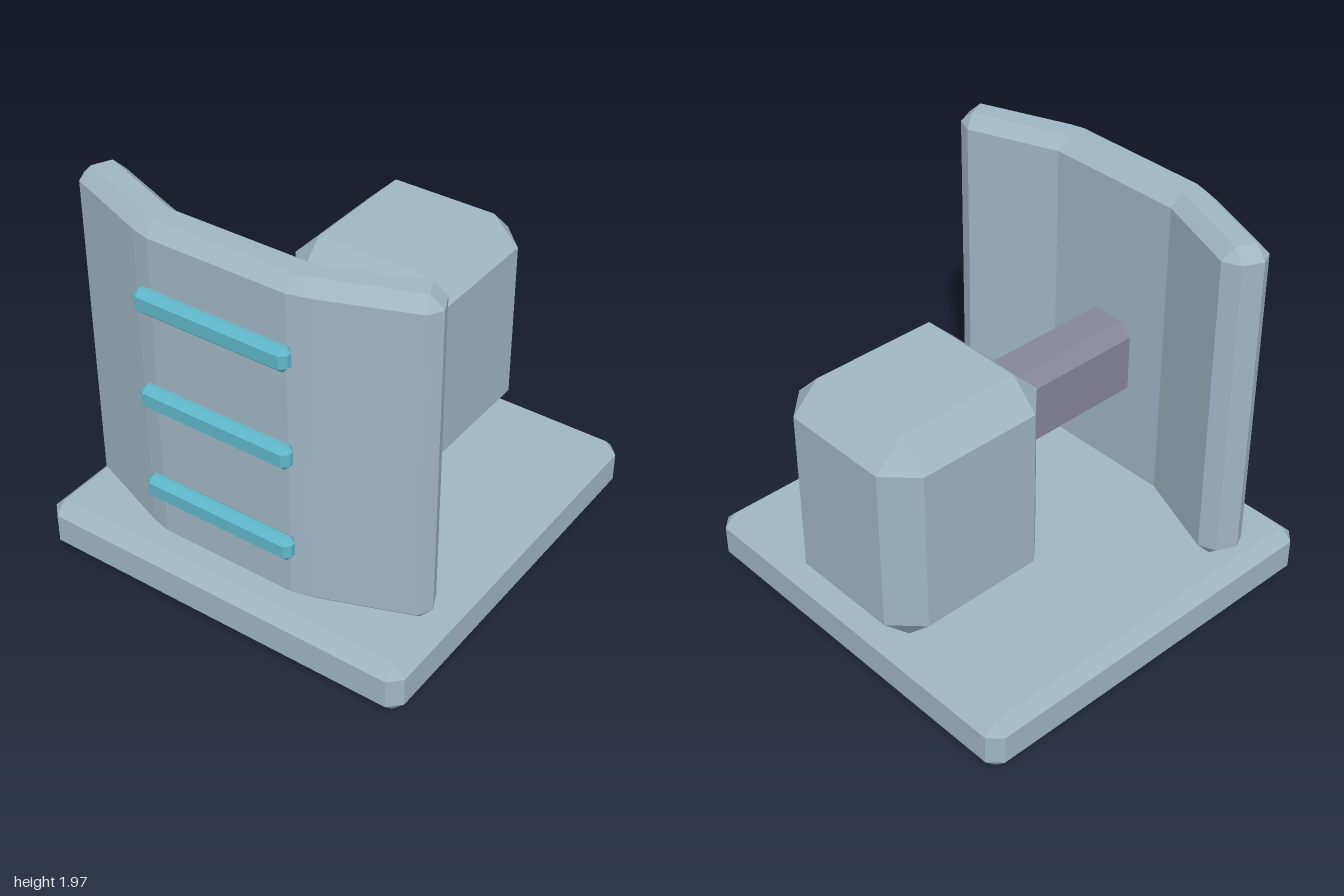
import * as THREE from 'three';
import { ConvexGeometry } from 'three/addons/geometries/ConvexGeometry.js';

const flat = (name, color) => new THREE.MeshStandardMaterial({ name, color, flatShading: true });

// Box between two corners with every edge cut by c
function chamferBox(min, max, c) {
  const points = [];
  for (const i of [0, 1]) for (const j of [0, 1]) for (const k of [0, 1]) {
    const side = [i, j, k];
    for (let outer = 0; outer < 3; outer++) {
      const p = side.map((s, a) => {
        const inset = a === outer ? 0 : c;
        return s ? max[a] - inset : min[a] + inset;
      });
      points.push(new THREE.Vector3(...p));
    }
  }
  return new ConvexGeometry(points);
}

// Bent slab: octagonal sections lofted from the right tip to the left tip
function shieldGeometry(y0, y1, bevel) {
  const t = 0.27;
  // half stations from centre to tip: back x, back z, front x, front z
  const half = [
    [0.355, 0.655, 0.355, 0.88],
    [0.355, 0.655, 0.45, 0.855],
    [0.80, 0.487, 0.895, 0.687],
    [0.885, 0.522, 0.93, 0.617],
  ];
  const mirrored = half.map(([bx, bz, fx, fz]) => [-bx, bz, -fx, fz]).reverse();
  const stations = [...mirrored, ...half];
  const lo = y0 + bevel, hi = y1 - bevel;
  const position = [], index = [];
  stations.forEach(([bx, bz, fx, fz], s) => {
    const tip = s === 0 || s === stations.length - 1;
    const put = (f, y) => position.push(bx + (fx - bx) * f, y, bz + (fz - bz) * f);
    const top = tip ? hi : y1, bottom = tip ? lo : y0;
    const a = tip ? 0 : t, b = 1 - a;
    put(0, lo); put(0, hi); put(a, top); put(b, top);
    put(1, hi); put(1, lo); put(b, bottom); put(a, bottom);
  });
  for (let s = 0; s < stations.length - 1; s++) {
    for (let i = 0; i < 8; i++) {
      const a = s * 8 + i, b = s * 8 + (i + 1) % 8;
      index.push(a, b, a + 8, b, b + 8, a + 8);
    }
  }
  // end faces
  const e = (stations.length - 1) * 8;
  index.push(0, 4, 1, 0, 5, 4, e, e + 1, e + 4, e, e + 4, e + 5);
  const geometry = new THREE.BufferGeometry();
  geometry.setAttribute('position', new THREE.Float32BufferAttribute(position, 3));
  geometry.setIndex(index);
  const faceted = geometry.toNonIndexed();
  faceted.computeVertexNormals();
  return faceted;
}

export function createModel() {
  const model = new THREE.Group();
  const steel = flat('paleSteel', 0x9fb6c3);
  const mauve = flat('mauveGrey', 0x86869a);
  const teal = flat('teal', 0x60b6c8);
  const add = (name, geometry, material) => {
    const mesh = new THREE.Mesh(geometry, material);
    mesh.name = name;
    model.add(mesh);
  };

  // Base and rear block
  add('base', chamferBox([-1, 0, -1], [1, 0.27, 1], 0.06), steel);
  add('rearBlock', chamferBox([-0.42, 0.27, -1], [0.42, 1.39, -0.08], 0.14), steel);

  // Arm joining block and shield
  add('arm', chamferBox([-0.148, 0.755, -0.3], [0.148, 1.175, 0.75], 0.065), mauve);

  // Bent shield with three raised bars
  add('shield', shieldGeometry(0.27, 1.965, 0.06), steel);
  for (const y of [0.62, 1.12, 1.62]) {
    add('shieldBar', chamferBox([-0.4, y - 0.06, 0.878], [0.4, y + 0.06, 0.958], 0.028), teal);
  }
  return model;
}
